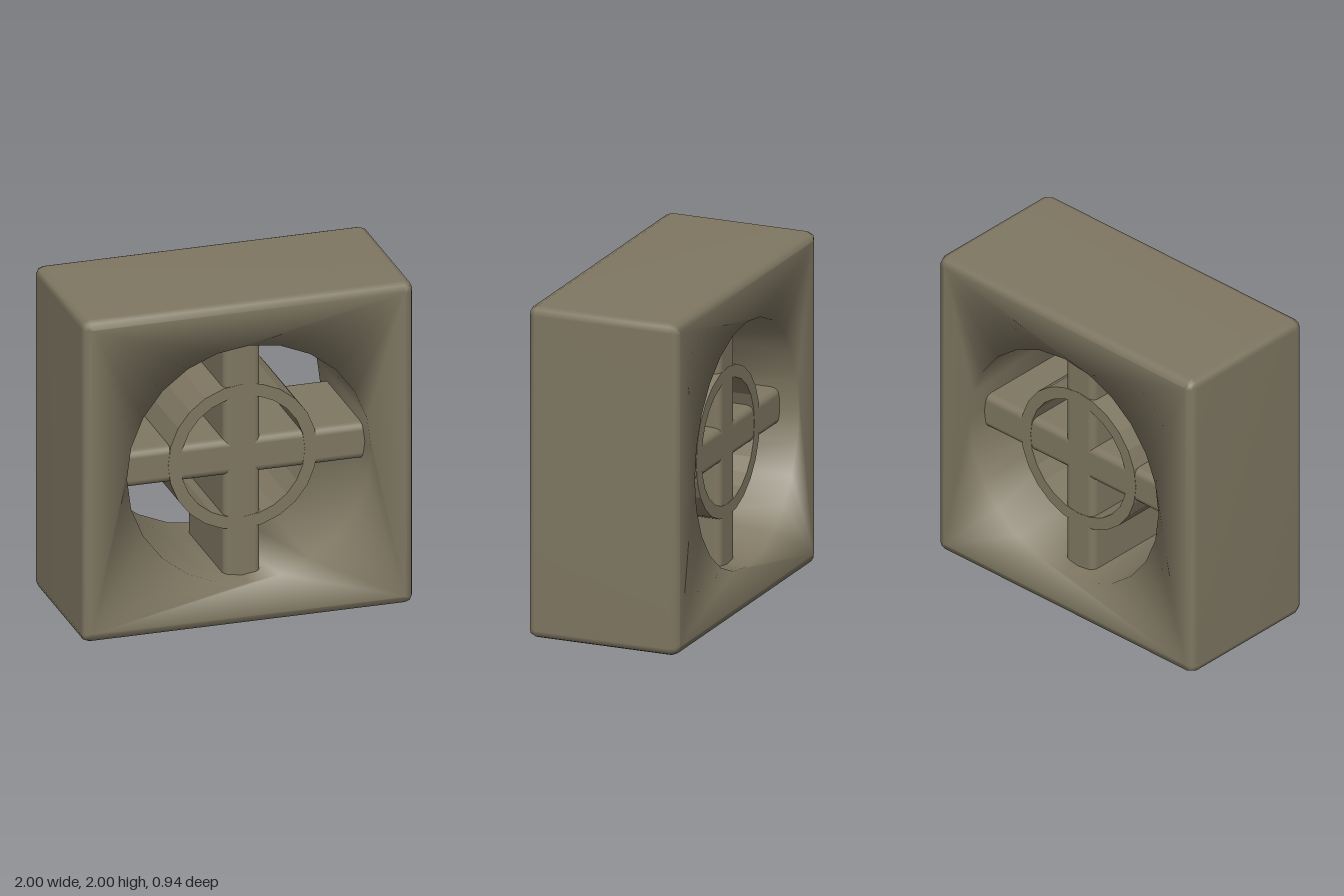
import * as THREE from 'three';
import { mergeVertices } from 'three/addons/utils/BufferGeometryUtils.js';
import { RoundedBoxGeometry } from 'three/addons/geometries/RoundedBoxGeometry.js';

const HALF_DEPTH = 0.47;
const HOLE_RADIUS = 0.737;
const SIDES = 24;

function circlePoints(radius) {
  return Array.from({ length: SIDES }, (_, i) => {
    const a = (i / SIDES) * Math.PI * 2;
    return new THREE.Vector2(Math.cos(a) * radius, Math.sin(a) * radius);
  });
}

// Square block with softened edges and a straight round opening, smooth-shaded throughout
function frameGeometry() {
  const bevel = 0.05, core = 0.94, corner = 0.01;
  const outline = [];
  for (let q = 0; q < 4; q++) {
    const mid = Math.PI / 4 + q * Math.PI / 2;
    for (let k = -1; k <= 1; k++) {
      const a = mid + k * Math.PI / 4;
      outline.push(new THREE.Vector2(
        Math.sign(Math.cos(mid)) * core + Math.cos(a) * corner,
        Math.sign(Math.sin(mid)) * core + Math.sin(a) * corner));
    }
  }
  const shape = new THREE.Shape(outline);
  shape.holes.push(new THREE.Path(circlePoints(HOLE_RADIUS).reverse()));
  const depth = 2 * (HALF_DEPTH - bevel);
  let geo = new THREE.ExtrudeGeometry(shape, {
    depth, steps: 1, bevelEnabled: true, bevelSize: bevel, bevelThickness: bevel, bevelSegments: 2,
  });
  geo.translate(0, 0, -depth / 2);

  // Straighten the opening: no bevel on its rim
  const pos = geo.attributes.position;
  for (let i = 0; i < pos.count; i++) {
    const x = pos.getX(i), y = pos.getY(i), r = Math.hypot(x, y);
    if (r < 0.85) {
      const s = HOLE_RADIUS / r;
      pos.setXYZ(i, x * s, y * s, Math.sign(pos.getZ(i)) * HALF_DEPTH);
    }
  }
  geo.deleteAttribute('normal');
  geo.deleteAttribute('uv');
  geo.clearGroups();
  geo = mergeVertices(geo, 1e-4);
  geo.computeVertexNormals();
  return geo;
}

// Faceted ring joining the two bars
function ringGeometry() {
  const shape = new THREE.Shape(circlePoints(0.45));
  shape.holes.push(new THREE.Path(circlePoints(0.375).reverse()));
  const depth = 0.704;
  const geo = new THREE.ExtrudeGeometry(shape, { depth, bevelEnabled: false });
  geo.translate(0, 0, -depth / 2);
  return geo;
}

export function createModel() {
  const group = new THREE.Group();
  group.name = 'ventBlock';
  const stone = new THREE.MeshStandardMaterial({ color: 0x7f7762 });
  stone.name = 'stone';

  const add = (name, geometry) => {
    const mesh = new THREE.Mesh(geometry, stone);
    mesh.name = name;
    mesh.position.y = 1;
    group.add(mesh);
  };

  add('frame', frameGeometry());
  // Bars run a little into the frame
  add('horizontalBar', new RoundedBoxGeometry(1.64, 0.225, 0.7, 2, 0.045));
  add('verticalBar', new RoundedBoxGeometry(0.225, 1.64, 0.7, 2, 0.045));
  add('ring', ringGeometry());
  return group;
}
